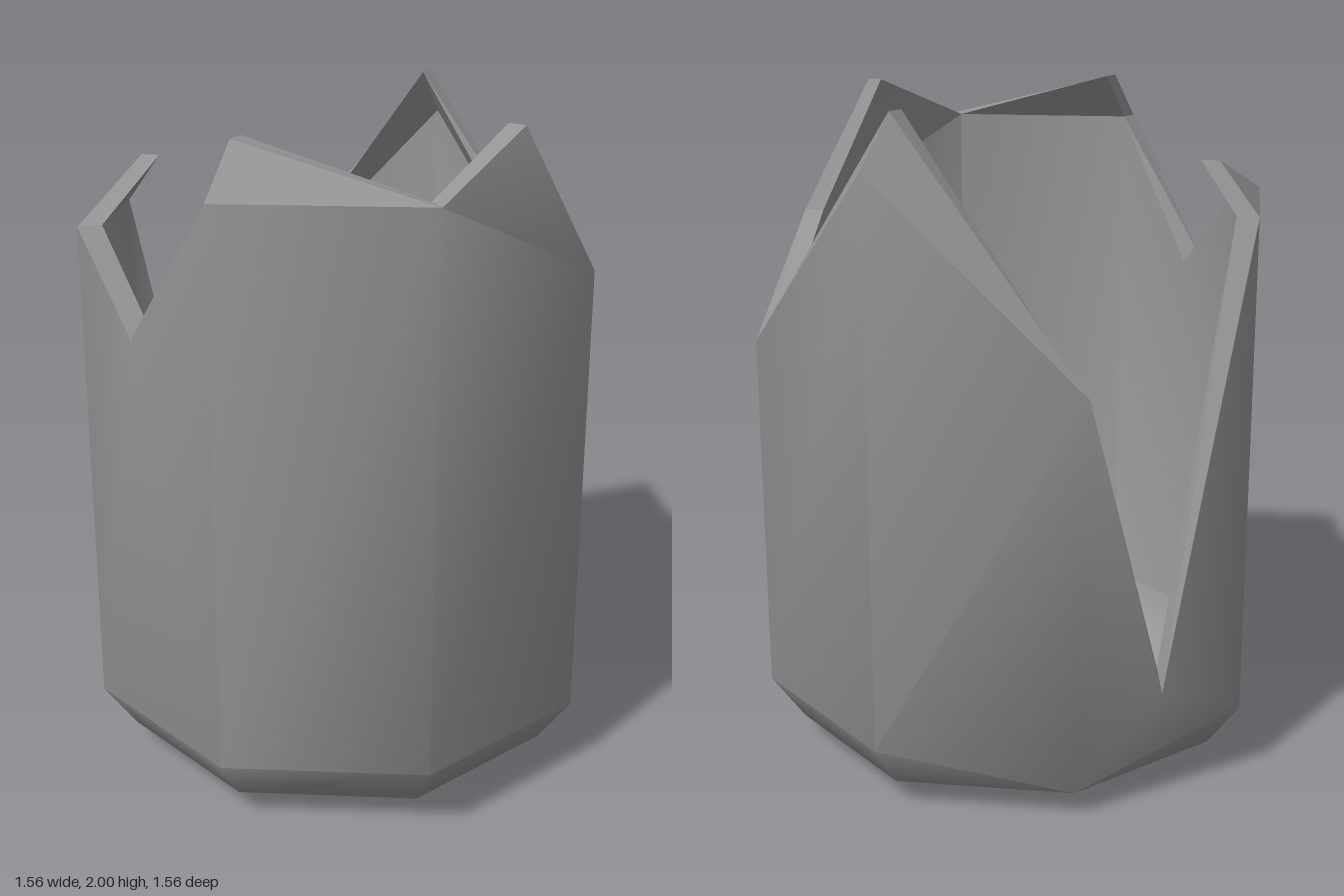
import * as THREE from 'three';
import { toCreasedNormals } from 'three/addons/utils/BufferGeometryUtils.js';

const SIDES = 8;
const d = 0.78 * Math.SQRT1_2;

// Broken upper edge: one point per column (x, y, z)
const TOPS = [
  [0, 1.86, 0.78], [d, 1.59, d], [0.78, 1.3, 0], [d, 1.86, -d],
  [0, 1.28, -0.78], [-0.61, 1.67, -0.41], [-0.78, 1.69, 0], [-d, 1.86, d],
];
// Shards that lean inwards above a wall, keyed by wall number
const backTip = [0.455, 2, -0.455];
const SHARDS = {
  0: [0.34, 2, 0.525], 2: backTip, 3: backTip,
  5: [-0.525, 1.82, -0.305], 7: [-0.455, 2, 0.455],
};
// Points where a wall is broken away downwards: outer, inner
const NOTCHES = {
  4: [[-0.26, 0.36, -0.675], [-0.265, 0.41, -0.61]],
  6: [[-0.69, 1.42, 0.23], [-0.625, 1.42, 0.23]],
};

const ring = (r, y) => Array.from({ length: SIDES }, (_, i) => {
  const a = (i / SIDES) * Math.PI * 2;
  return [Math.sin(a) * r, y, Math.cos(a) * r];
});

const inset = (p) => [p[0] * 0.91, p[1], p[2] * 0.91];

function toGeometry(tris, crease) {
  const g = new THREE.BufferGeometry();
  g.setAttribute('position', new THREE.Float32BufferAttribute(tris.flat(2), 3));
  return toCreasedNormals(g, crease);
}

// One skin of the vessel, split into floor, walls with rounded foot, and shards
function skin(profile, chip, inner) {
  const floorTris = [], wallTris = [], shardTris = [];
  const tri = (list, a, b, c) => {
    if (a === b || b === c || a === c) return;
    list.push(inner ? [a, c, b] : [a, b, c]);
  };
  const quad = (a, b, c, e) => { tri(wallTris, a, b, c); tri(wallTris, a, c, e); };

  const [floor, low, foot] = profile.map(([r, y]) => ring(r, y));
  low[4] = foot[4] = chip; // the foot is chipped off at the back
  const place = (p) => (inner ? inset(p) : p);
  const tops = TOPS.map(place);

  for (let i = 0; i < SIDES; i++) {
    const j = (i + 1) % SIDES;
    tri(floorTris, floor[0], floor[j], floor[i]);
    quad(floor[i], floor[j], low[j], low[i]);
    quad(low[i], low[j], foot[j], foot[i]);

    if (NOTCHES[i]) {
      const n = NOTCHES[i][inner ? 1 : 0];
      tri(wallTris, foot[i], foot[j], n);
      tri(wallTris, foot[i], n, tops[i]);
      tri(wallTris, foot[j], tops[j], n);
    } else {
      quad(foot[i], foot[j], tops[j], tops[i]);
    }
    // the front left shard leans only a little and blends into its wall
    if (SHARDS[i]) tri(i === 0 ? wallTris : shardTris, tops[i], tops[j], place(SHARDS[i]));
  }
  return {
    Floor: toGeometry(floorTris, 0.79),
    Wall: toGeometry(wallTris, 0.79),
    Shards: toGeometry(shardTris, 0.2),
  };
}

// Thickness of the broken edge, joining the two skins
function rim() {
  const path = [];
  for (let i = 0; i < SIDES; i++) {
    if (i === 3) continue; // this column ends below the back tip
    path.push([TOPS[i], inset(TOPS[i])]);
    if (NOTCHES[i]) path.push(NOTCHES[i]);
    else if (SHARDS[i]) path.push([SHARDS[i], inset(SHARDS[i])]);
  }
  const tris = [];
  path.forEach(([a, ai], k) => {
    const [b, bi] = path[(k + 1) % path.length];
    tris.push([a, b, bi], [a, bi, ai]);
  });
  return toGeometry(tris, 0.4);
}

export function createModel() {
  const stone = new THREE.MeshStandardMaterial({ color: 0x969494 });
  stone.name = 'grey stone';

  const group = new THREE.Group();
  group.name = 'brokenVessel';
  const add = (name, geometry) => {
    const mesh = new THREE.Mesh(geometry, stone);
    mesh.name = name;
    group.add(mesh);
  };

  const skins = {
    outer: skin([[0.51, 0], [0.68, 0.08], [0.78, 0.22]], [0, 0.08, -0.68], false),
    inner: skin([[0.46, 0.07], [0.63, 0.14], [0.71, 0.25]], [0, 0.25, -0.55], true),
  };
  for (const [side, parts] of Object.entries(skins)) {
    for (const [part, geometry] of Object.entries(parts)) add(side + part, geometry);
  }
  add('brokenRim', rim());
  return group;
}
